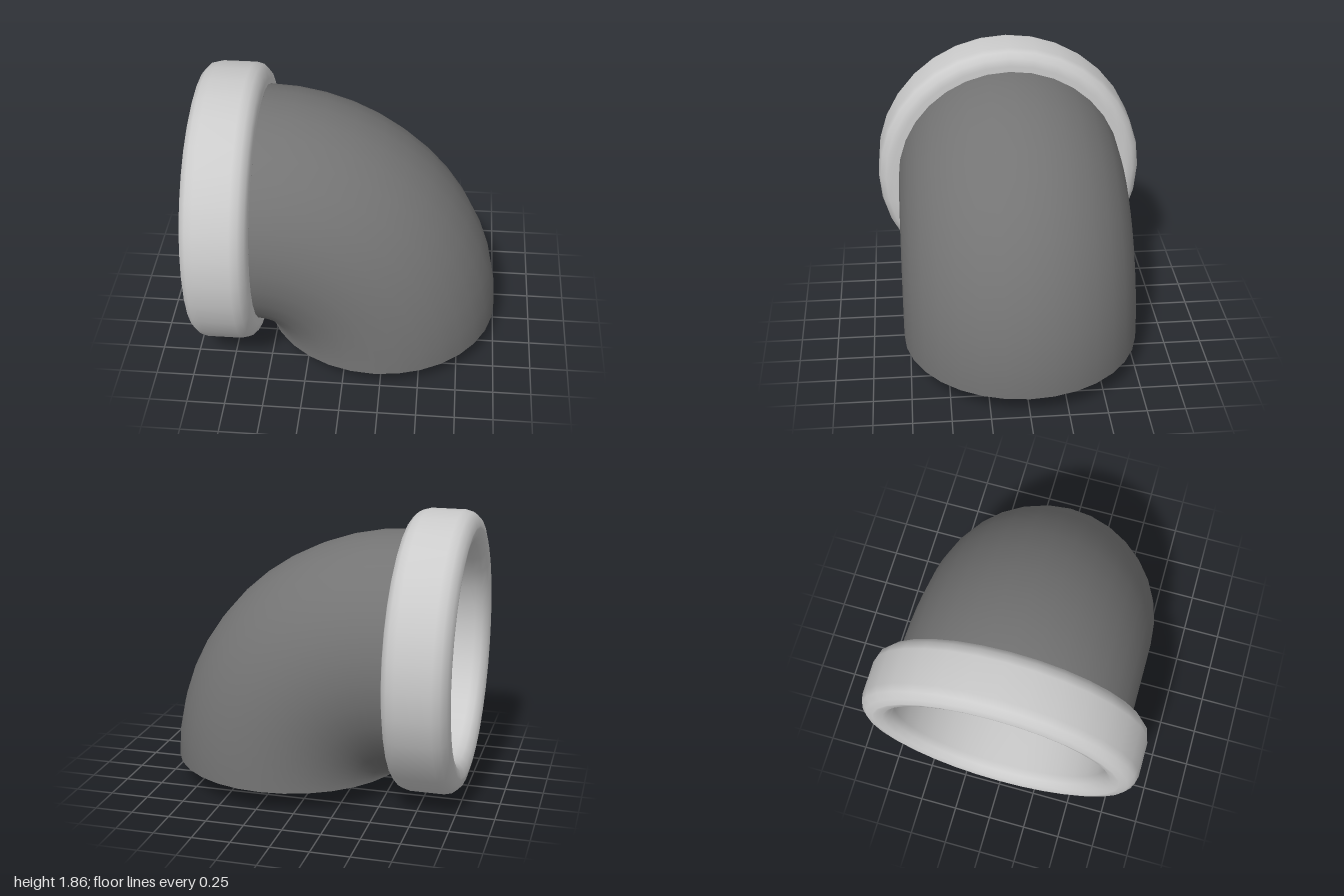
import * as THREE from 'three';

const OUTER = 0.7875, INNER = 0.715; // pipe radii; the bend radius equals OUTER
const COLLAR = 0.9275, HALF_WIDTH = 0.2125, ROUND = 0.1;
const JOINT_X = -1 + 2 * HALF_WIDTH, END_Y = COLLAR - OUTER;

// Collar section as (radius, axis) points: three rounded corners, square where it meets the elbow
function collarProfile() {
  const points = [new THREE.Vector2(INNER, -HALF_WIDTH)];
  const corners = [[COLLAR - ROUND, -1], [COLLAR - ROUND, 1], [INNER + ROUND, 1]];
  corners.forEach(([r, side], i) => {
    for (let k = 0; k <= 3; k++) {
      const a = (i - 1 + k / 3) * Math.PI / 2;
      points.push(new THREE.Vector2(r + ROUND * Math.cos(a), side * (HALF_WIDTH - ROUND) + ROUND * Math.sin(a)));
    }
  });
  points.push(new THREE.Vector2(INNER, -HALF_WIDTH));
  return points;
}

export function createModel() {
  const group = new THREE.Group();
  const light = new THREE.MeshStandardMaterial({ color: 0xbebebe });
  const dark = new THREE.MeshStandardMaterial({ color: 0x747474, side: THREE.DoubleSide });

  const add = (name, geometry, material, x, y) => {
    const mesh = new THREE.Mesh(geometry, material);
    mesh.name = name;
    mesh.position.set(x, y, 0);
    group.add(mesh);
    return mesh;
  };

  // Rounded collar around the horizontal mouth
  const collar = add('collar', new THREE.LatheGeometry(collarProfile(), 32), light, -1 + HALF_WIDTH, COLLAR);
  collar.rotation.z = Math.PI / 2;

  // Quarter-turn elbow: outer skin and inner bore, open between them at the lower end
  const bend = (r) => new THREE.TorusGeometry(OUTER, r, 32, 12, Math.PI / 2);
  add('elbowOuter', bend(OUTER), dark, JOINT_X, END_Y);
  add('elbowBore', bend(INNER), dark, JOINT_X, END_Y);

  // Rim joining the two skins against the collar
  const rim = new THREE.RingGeometry(INNER, OUTER, 32).rotateY(Math.PI / 2);
  add('collarRim', rim, dark, JOINT_X + 0.003, COLLAR);

  // Disc closing the lower end, set slightly inside
  const cap = new THREE.CircleGeometry(INNER, 32).rotateX(Math.PI / 2);
  add('lowerCap', cap, dark, JOINT_X + OUTER, END_Y + 0.04);

  return group;
}
